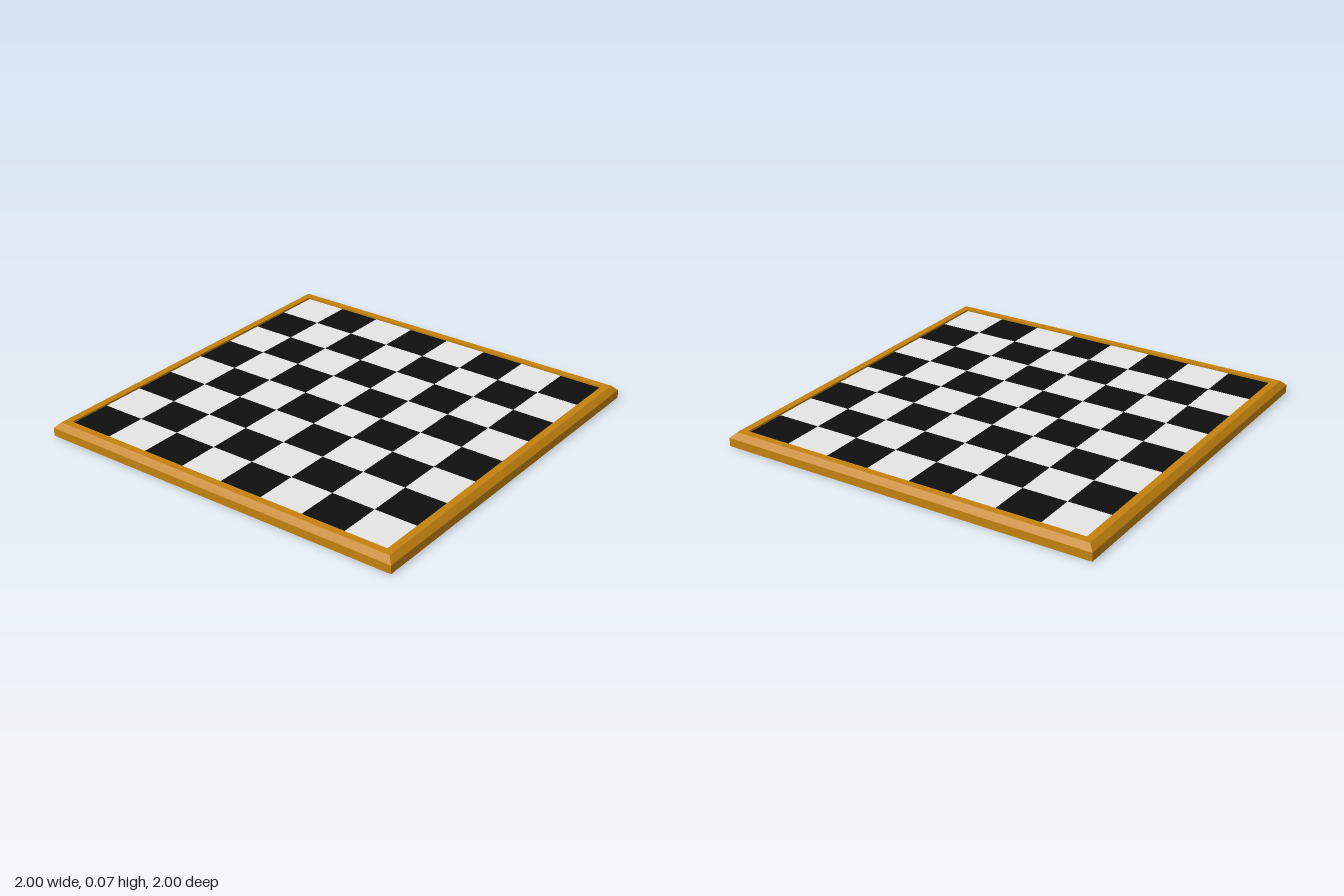
import * as THREE from 'three';

export function createModel() {
  const model = new THREE.Group();
  model.name = 'checkeredBoard';

  const material = (name, color) => {
    const m = new THREE.MeshStandardMaterial({ color });
    m.name = name;
    return m;
  };
  const wood = material('golden wood', 0xc4820f);
  const light = material('light squares', 0xe6e6e6);
  const dark = material('dark squares', 0x0f0f0f);

  // Wooden tray: half-width and height profile swept around four sides
  const profile = [
    [0, 0], [1, 0], [1, 0.043], [0.973, 0.07], [0.935, 0.07], [0.935, 0.06],
  ].map(([w, y]) => new THREE.Vector2(w * Math.SQRT2, y));
  const trayGeometry = new THREE.LatheGeometry(profile, 4, Math.PI / 4).toNonIndexed();
  trayGeometry.computeVertexNormals();
  const tray = new THREE.Mesh(trayGeometry, wood);
  tray.name = 'woodenFrame';
  model.add(tray);

  // Playing field: 8 x 8 flat squares, slightly sunk below the rim
  const field = new THREE.Group();
  field.name = 'playingField';
  const size = 1.87 / 8;
  const squareGeometry = new THREE.PlaneGeometry(size, size).rotateX(-Math.PI / 2);
  for (let row = 0; row < 8; row++) {
    for (let col = 0; col < 8; col++) {
      const isLight = (row + col) % 2 === 0;
      const square = new THREE.Mesh(squareGeometry, isLight ? light : dark);
      square.name = isLight ? 'lightSquare' : 'darkSquare';
      square.position.set((col - 3.5) * size, 0.06, (row - 3.5) * size);
      field.add(square);
    }
  }
  model.add(field);
  return model;
}
